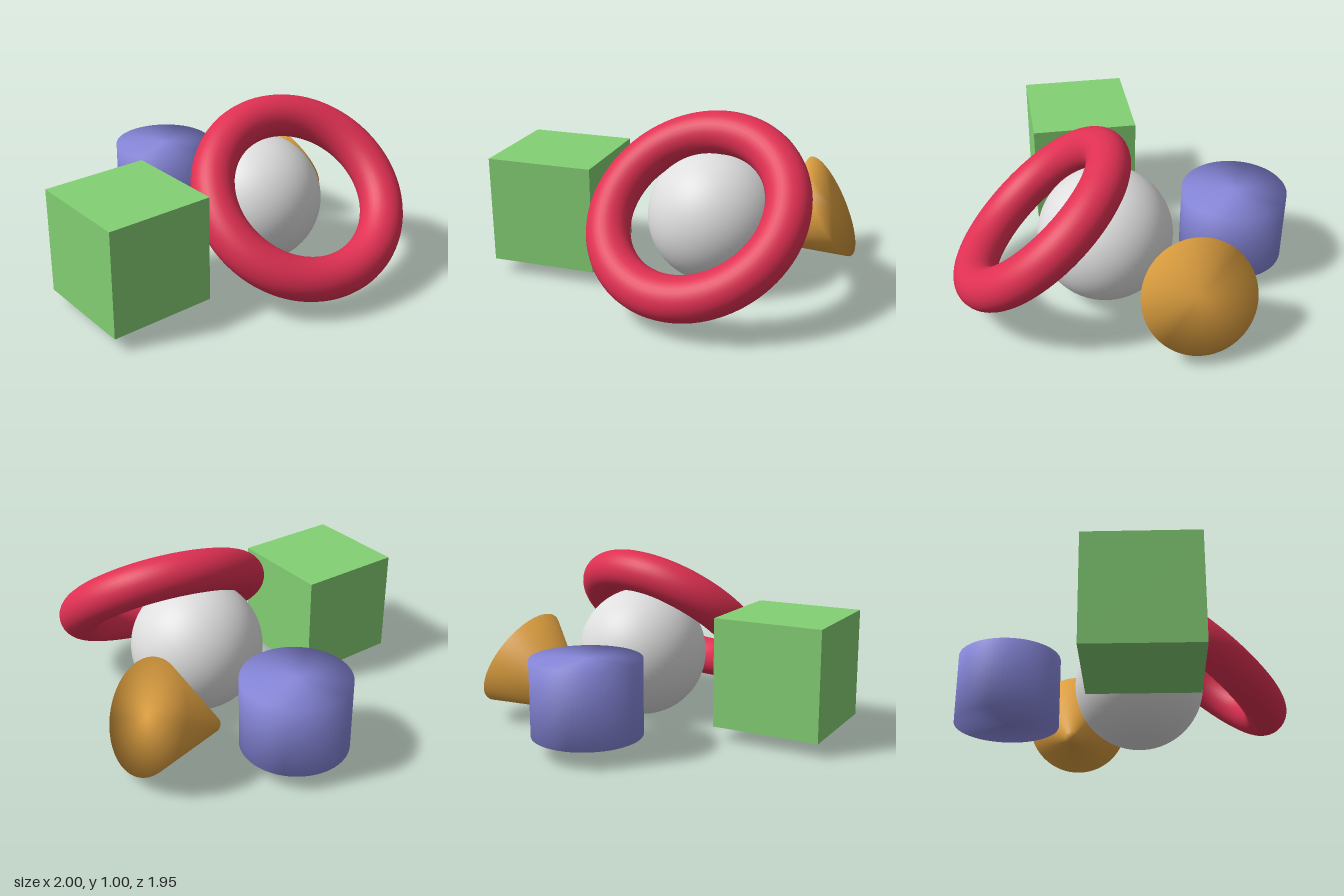
import * as THREE from 'three';
import { mergeVertices } from 'three/addons/utils/BufferGeometryUtils.js';

const paint = (name, color) => {
  const m = new THREE.MeshStandardMaterial({ color });
  m.name = name;
  return m;
};

// Share rim vertices so the shading rolls smoothly over the edges.
function smoothed(geometry) {
  geometry.deleteAttribute('normal');
  geometry.deleteAttribute('uv');
  const merged = mergeVertices(geometry, 1e-4);
  merged.computeVertexNormals();
  return merged;
}

export function createModel() {
  const group = new THREE.Group();
  group.name = 'primitiveShapes';

  const add = (name, geometry, material, position) => {
    const mesh = new THREE.Mesh(geometry, material);
    mesh.name = name;
    mesh.position.set(...position);
    group.add(mesh);
    return mesh;
  };

  add('cube', new THREE.BoxGeometry(0.62, 0.62, 0.62), paint('green', 0x84d074), [-0.69, 0.39, 0.13]);

  add('sphere', new THREE.SphereGeometry(0.385, 64, 40), paint('lightGrey', 0xdedede), [0.245, 0.385, 0.1]);

  add('cylinder', smoothed(new THREE.CylinderGeometry(0.305, 0.305, 0.42, 64)),
    paint('lavender', 0x8888dd), [0.13, 0.31, -0.675]);

  // Ring leaning back over the sphere
  const ring = add('ring', new THREE.TorusGeometry(0.508, 0.122, 32, 96), paint('red', 0xdf3052), [0.243, 0.54, 0.465]);
  ring.quaternion.setFromUnitVectors(new THREE.Vector3(0, 0, 1), new THREE.Vector3(-0.15, 0.75, 0.645).normalize());

  // Blunt cone lying on its side, wide end facing +x and up
  const cone = add('cone', smoothed(new THREE.CylinderGeometry(0.317, 0.04, 0.5, 64)),
    paint('orange', 0xdd9f40), [0.625, 0.239, -0.315]);
  cone.quaternion.setFromUnitVectors(new THREE.Vector3(0, 1, 0), new THREE.Vector3(0.875, 0.484, 0).normalize());

  return group;
}
